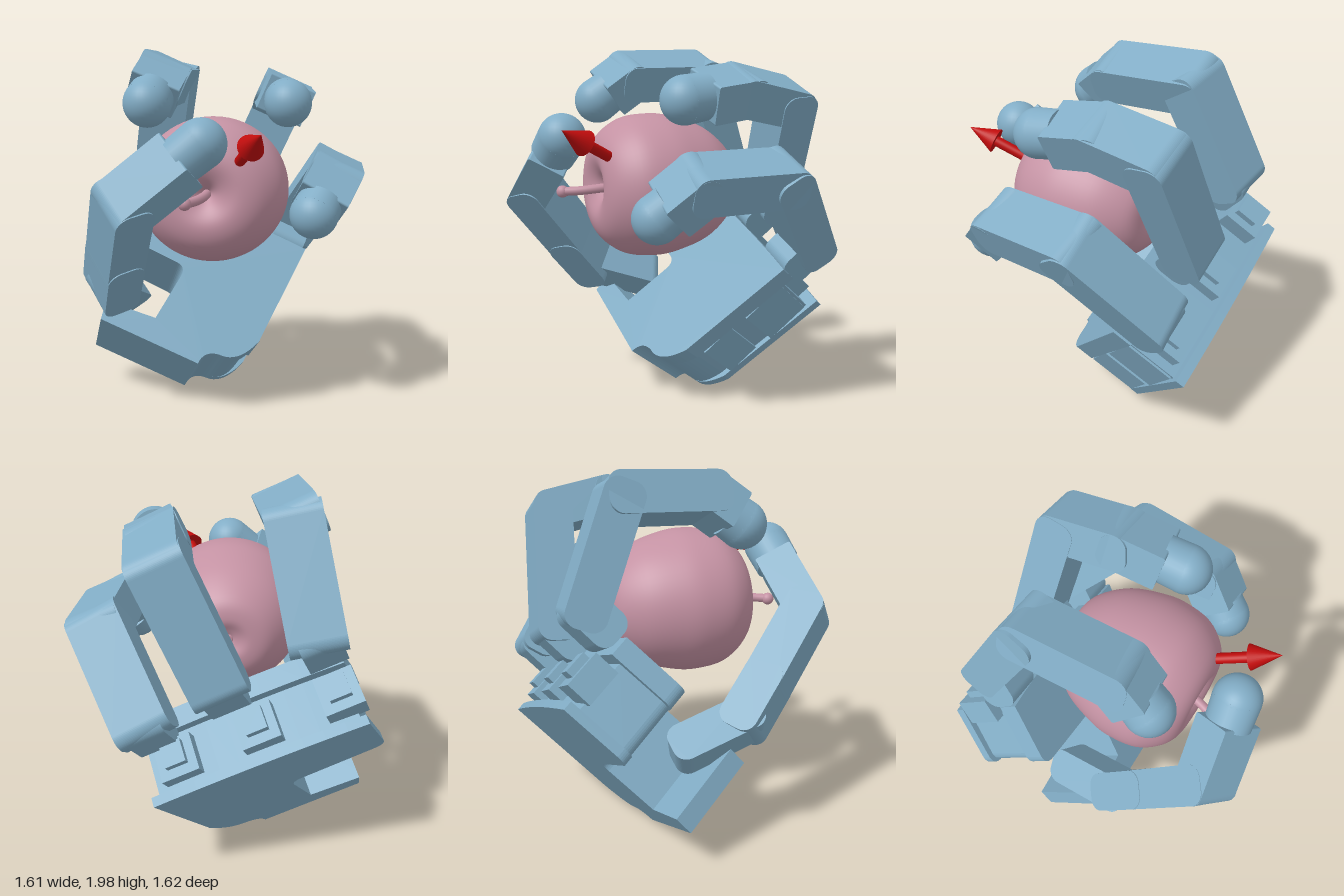
import * as THREE from 'three';

const V = (x, y, z) => new THREE.Vector3(x, y, z);
const blue = new THREE.MeshStandardMaterial({ color: 0x82adc6 });
const pink = new THREE.MeshStandardMaterial({ color: 0xc492a3 });
const red = new THREE.MeshStandardMaterial({ color: 0xc00c0c });

// palm frame: across the hand, towards the fingers, out of the palm
const normal = V(0.31, 0.58, 0.75).normalize();
const across = V(0.88, -0.455, -0.12);
across.addScaledVector(normal, -across.dot(normal)).normalize();
const along = normal.clone().cross(across);
const palmOrigin = V(-0.21, 0.01, -0.17);

function add(parent, name, geometry, material = blue) {
  const mesh = new THREE.Mesh(geometry, material);
  mesh.name = name;
  parent.add(mesh);
  return mesh;
}

// round bar between two points
function bar(parent, name, a, b, r0, r1, material) {
  const d = b.clone().sub(a);
  const mesh = add(parent, name, new THREE.CylinderGeometry(r1, r0, d.length(), 32), material);
  mesh.position.copy(a).addScaledVector(d, 0.5);
  mesh.quaternion.setFromUnitVectors(V(0, 1, 0), d.normalize());
}

// finger link: a rounded side outline extruded along the hinge axis
function link(parent, name, a, b, hinge, { width = 0.28, thick = 0.205, end = 0.085, r1 = 0.07 } = {}) {
  const x = b.clone().sub(a), len = x.length();
  x.normalize();
  const z = hinge.clone().addScaledVector(x, -hinge.dot(x)).normalize();
  const y = z.clone().cross(x);
  const h = thick / 2, start = 0.085, r0 = 0.07, s = new THREE.Shape();
  s.moveTo(-start + r0, -h);
  s.lineTo(len + end - r1, -h);
  s.absarc(len + end - r1, -h + r1, r1, -Math.PI / 2, 0);
  s.absarc(len + end - r1, h - r1, r1, 0, Math.PI / 2);
  s.lineTo(-start + r0, h);
  s.absarc(-start + r0, h - r0, r0, Math.PI / 2, Math.PI);
  s.absarc(-start + r0, -h + r0, r0, Math.PI, Math.PI * 1.5);
  const geo = new THREE.ExtrudeGeometry(s, { depth: width, bevelEnabled: false, curveSegments: 8 });
  const mesh = add(parent, name, geo.translate(0, 0, -width / 2));
  mesh.quaternion.setFromRotationMatrix(new THREE.Matrix4().makeBasis(x, y, z));
  mesh.position.copy(a);
}

// links through the joints, ending in a round fingertip
function finger(parent, name, root, joints, hinge, tipNeck) {
  const g = new THREE.Group();
  g.name = name;
  parent.add(g);
  const [knuckle, middle, last, tip] = joints;
  link(g, 'baseLink', root, knuckle, hinge, { width: 0.2, thick: 0.2 });
  link(g, 'proximalLink', knuckle, middle, hinge);
  link(g, 'middleLink', middle, last, hinge, { width: 0.27 });
  const neck = tip.clone().addScaledVector(tip.clone().sub(last).normalize(), -tipNeck);
  link(g, 'distalLink', last, neck, hinge, { end: 0.02, r1: 0.01, width: 0.26 });
  bar(g, 'tipNeck', neck, tip, 0.12, 0.125, blue);
  add(g, 'fingertip', new THREE.SphereGeometry(0.125, 32, 20)).position.copy(tip);
}

// palm outline; inset trims the finger end and the outer side
function palmShape(inset) {
  const top = 0.955 - inset * 2, left = -0.815 + inset;
  const s = new THREE.Shape();
  s.moveTo(-0.59, 0);
  s.lineTo(0, 0);
  s.bezierCurveTo(0, 0.07, 0.05, 0.1, 0.11, 0.1);
  s.quadraticCurveTo(0.21, 0.11, 0.27 - inset, 0.27);
  s.lineTo(0.33 - inset, top);
  s.quadraticCurveTo(-0.25, top + 0.02, left + 0.03, top - 0.04);
  s.lineTo(left, 0.59);
  s.quadraticCurveTo(left, 0.525, left + 0.07, 0.525);
  s.lineTo(-0.35, 0.51);
  s.quadraticCurveTo(-0.29, 0.51, -0.29, 0.45);
  s.lineTo(-0.32, 0.14);
  s.lineTo(-0.61, 0.11);
  s.closePath();
  return s;
}

function buildPalm(parent) {
  const palm = new THREE.Group();
  palm.name = 'palm';
  palm.quaternion.setFromRotationMatrix(new THREE.Matrix4().makeBasis(across, along, normal));
  palm.position.copy(palmOrigin);
  parent.add(palm);
  const layers = [['backPlate', 0, 0.05, 0], ['palmCore', 0.05, 0.29, 0.03], ['frontPlate', 0.34, 0.11, 0]];
  for (const [name, z, depth, inset] of layers) {
    const geo = new THREE.ExtrudeGeometry(palmShape(inset), { depth, bevelEnabled: false, curveSegments: 10 });
    add(palm, name, geo.translate(0, 0, z));
  }
  // side covers over the recessed core
  for (const [x, y, h] of [[0.265, 0.42, 0.2], [0.29, 0.75, 0.26]]) {
    add(palm, 'sideCover', new THREE.BoxGeometry(0.04, h, 0.28)).position.set(x, y, 0.2);
  }
  // stepped motor blocks at the finger roots
  for (let i = 0; i < 3; i++) {
    const x = 0.15 - i * 0.43;
    add(palm, 'motorBlock', new THREE.BoxGeometry(0.2, 0.14, 0.2)).position.set(x, 0.91, 0.19);
    add(palm, 'motorStep', new THREE.BoxGeometry(0.11, 0.06, 0.12)).position.set(x, 0.99, 0.2);
  }
}

function buildFruit(parent) {
  const fruit = new THREE.Group();
  fruit.name = 'fruit';
  fruit.position.set(0.005, 1.235, 0);
  parent.add(fruit);
  const profile = new THREE.SplineCurve([
    [0, -0.32], [0.05, -0.34], [0.12, -0.362], [0.22, -0.33], [0.33, -0.2], [0.39, -0.03],
    [0.405, 0.1], [0.38, 0.25], [0.29, 0.365], [0.18, 0.405], [0.08, 0.37], [0, 0.29],
  ].map(([r, y]) => new THREE.Vector2(r, y))).getPoints(60);
  profile.forEach(p => { p.x = Math.max(p.x, 0); });
  const body = add(fruit, 'fruitBody', new THREE.LatheGeometry(profile, 64).rotateX(Math.PI / 2), pink);
  body.scale.y = 0.955;
  const calyx = add(fruit, 'calyx', new THREE.TorusGeometry(0.018, 0.008, 8, 20), pink);
  calyx.position.z = -0.335;
  const path = new THREE.CatmullRomCurve3([V(0, 0, 0.27), V(-0.005, -0.01, 0.38), V(-0.03, -0.02, 0.48), V(-0.07, -0.025, 0.57)]);
  add(fruit, 'stem', new THREE.TubeGeometry(path, 20, 0.024, 12), pink);
  const end = add(fruit, 'stemEnd', new THREE.SphereGeometry(0.033, 16, 12), pink);
  end.position.set(-0.07, -0.025, 0.56);
}

export function createModel() {
  const model = new THREE.Group();
  model.name = 'handHoldingFruit';
  const hand = new THREE.Group();
  hand.name = 'hand';
  model.add(hand);
  buildPalm(hand);

  // three fingers: knuckle, two joints, tip centre
  const fingers = {
    firstFinger: [V(-0.42, 1.35, -0.57), V(-0.31, 1.845, -0.36), V(-0.27, 1.825, 0.1), V(-0.31, 1.69, 0.28)],
    secondFinger: [V(0.05, 1.13, -0.635), V(0.31, 1.685, -0.585), V(0.35, 1.74, -0.28), V(0.4, 1.69, 0.06)],
    thirdFinger: [V(0.405, 0.93, -0.67), V(0.645, 1.31, -0.365), V(0.64, 1.295, 0.09), V(0.55, 1.13, 0.27)],
  };
  for (const [name, joints] of Object.entries(fingers)) {
    const root = joints[0].clone().addScaledVector(along, -0.12);
    finger(hand, name, root, joints, across, name === 'secondFinger' ? 0.13 : 0.09);
  }
  // thumb rising from the notch in the palm
  finger(hand, 'thumb', V(-0.53, 0.61, -0.08),
    [V(-0.53, 0.72, 0.24), V(-0.47, 0.88, 0.38), V(-0.35, 1.2, 0.65), V(0.02, 1.5, 0.58)],
    V(0.57, -0.63, 0.5), 0.14);

  buildFruit(model);

  // arrow leaving the fruit
  const arrow = new THREE.Group();
  arrow.name = 'arrow';
  model.add(arrow);
  bar(arrow, 'arrowShaft', V(0.14, 1.36, 0.29), V(0.25, 1.48, 0.53), 0.028, 0.028, red);
  bar(arrow, 'arrowHead', V(0.25, 1.48, 0.53), V(0.312, 1.547, 0.663), 0.068, 0, red);
  return model;
}
